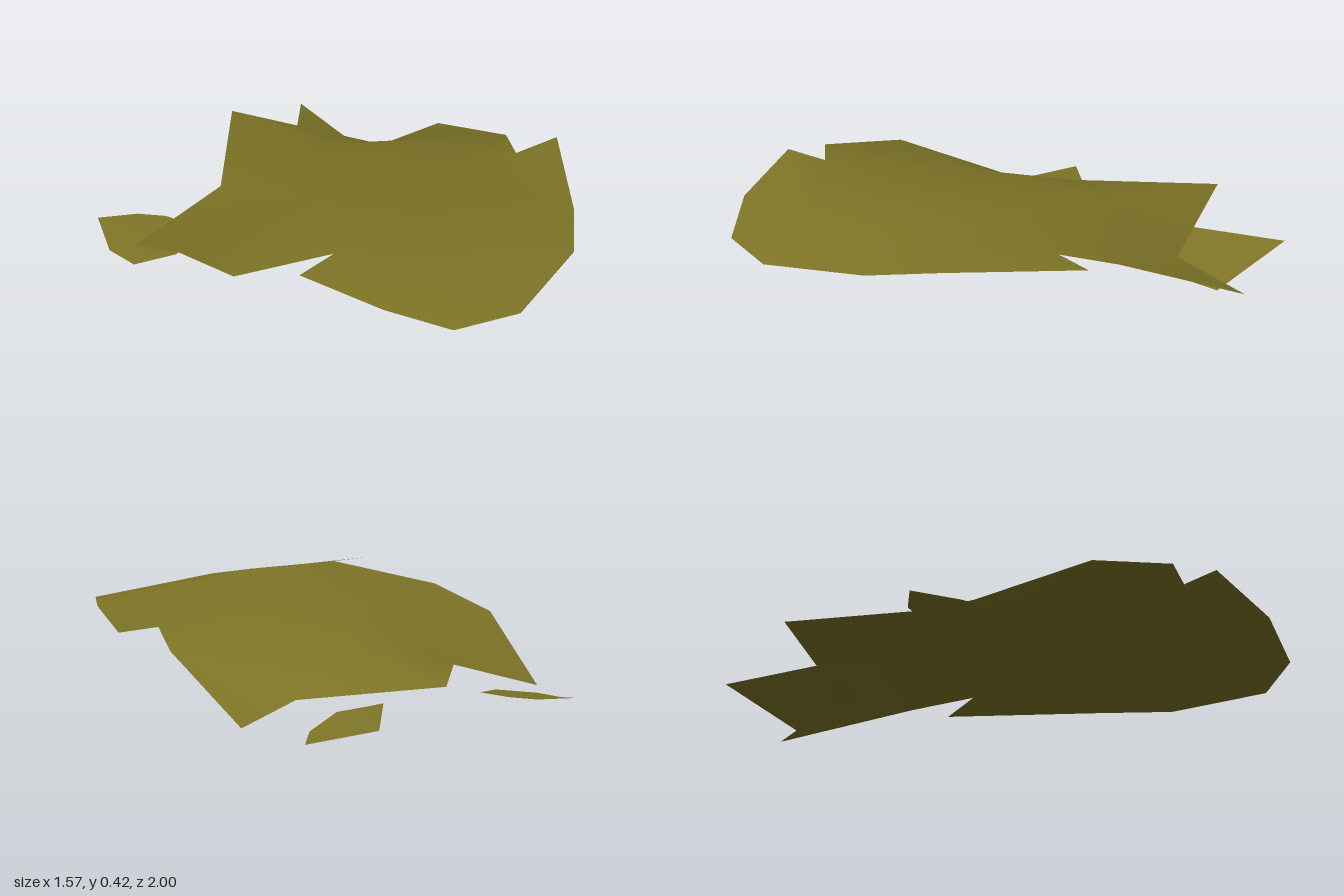
import * as THREE from 'three';

// Thin open sheet from points and triangles
function sheet(name, points, triangles, material) {
  const geometry = new THREE.BufferGeometry();
  geometry.setAttribute('position', new THREE.Float32BufferAttribute(points.flat(), 3));
  geometry.setIndex(triangles.flat());
  geometry.computeVertexNormals();
  const mesh = new THREE.Mesh(geometry, material);
  mesh.name = name;
  return mesh;
}

// Small flake: a fan from its middle to its rim
function flake(name, rim, material) {
  const n = rim.length;
  const middle = [0, 1, 2].map((k) => rim.reduce((sum, p) => sum + p[k], 0) / n);
  const triangles = rim.map((_, i) => [n, i, (i + 1) % n]);
  return sheet(name, [...rim, middle], triangles, material);
}

export function createModel() {
  const group = new THREE.Group();
  group.name = 'tornLeaf';
  const olive = new THREE.MeshStandardMaterial({ color: 0x7d7426, side: THREE.DoubleSide });
  olive.name = 'olive';

  // Ragged rim, counterclockwise seen from above, starting at the front
  const rim = [
    [-0.11, 0.287, 1.0], [0.16, 0.285, 0.99], [0.49, 0.325, 0.74], [0.61, 0.34, 0.49],
    [0.78, 0.335, -0.01], [0.6, 0.335, 0.03], [0.66, 0.285, -0.18], [0.63, 0.08, -0.68],
    [0.34, 0.138, -0.54], [-0.09, 0.205, -0.88], [-0.35, 0.195, -0.43], [-0.72, 0.08, -0.36],
    [-0.75, 0.28, 0.07], [-0.69, 0.335, 0.39], [-0.36, 0.42, 0.53], [-0.53, 0.41, 0.6],
    [-0.32, 0.35, 0.86],
  ];
  // Inner points: ridge, two shoulders, back, front slope, ridge end
  const inner = [
    [-0.03, 0.417, 0.54], [-0.2, 0.37, 0.05], [0.25, 0.355, 0.05],
    [0.05, 0.285, -0.4], [0, 0.365, 0.78], [0.3, 0.378, 0.52],
  ];
  const [ridge, shoulderR, shoulderL, back, slope, ridgeEnd] = [17, 18, 19, 20, 21, 22];

  // Front slope is a fan, the rest fills in behind the ridge
  const loop = [0, 1, 2, ridgeEnd, ridge, 14, 15, 16];
  const triangles = loop.map((a, i) => [slope, a, loop[(i + 1) % loop.length]]);
  triangles.push(
    [2, 3, ridgeEnd], [3, shoulderL, ridgeEnd], [ridgeEnd, shoulderL, ridge],
    [shoulderL, shoulderR, ridge], [ridge, shoulderR, 14], [14, shoulderR, 13],
    [13, shoulderR, 12], [12, shoulderR, 11], [11, shoulderR, 10],
    [shoulderR, back, 10], [10, back, 9], [back, 8, 9],
    [shoulderR, shoulderL, back], [shoulderL, 6, back], [back, 6, 8],
    [6, 7, 8], [shoulderL, 5, 6], [shoulderL, 3, 5], [3, 4, 5],
  );
  group.add(sheet('leafSheet', [...rim, ...inner], triangles, olive));

  // Loose flakes below the back edge
  group.add(flake('backFlake', [
    [0.24, 0.09, -1.0], [0.07, 0.13, -0.7], [0.07, 0.105, -0.6],
    [0.17, 0.08, -0.53], [0.31, 0.03, -0.59], [0.375, 0, -0.68],
  ], olive));
  group.add(flake('sideFlake', [
    [-0.75, 0.07, -0.61], [-0.79, 0.04, -0.43], [-0.755, 0.04, -0.3], [-0.6, 0.06, -0.27],
    [-0.47, 0.08, -0.4], [-0.53, 0.075, -0.51], [-0.61, 0.07, -0.575],
  ], olive));
  return group;
}
